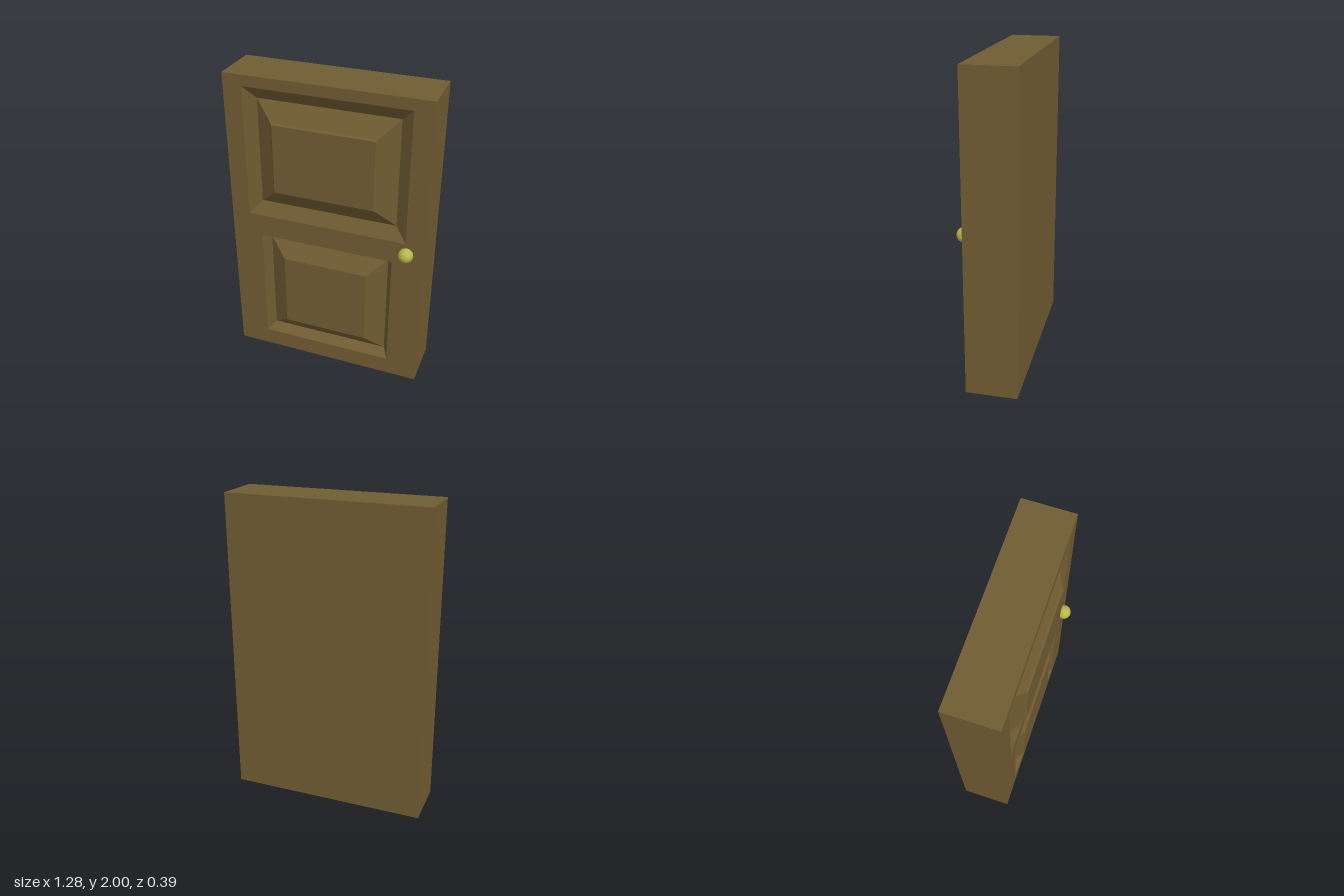
import * as THREE from 'three';

const WOOD = new THREE.MeshStandardMaterial({ color: 0x705c32, flatShading: true });
const BRASS = new THREE.MeshStandardMaterial({ color: 0xb8b84a });

const FRONT = 0.13, BACK = -0.195, HALF_W = 0.64, HEIGHT = 2;

// Each section is a rectangle [halfWidth, yLow, yHigh, z].
const corners = ([w, y0, y1, z]) => [[-w, y0, z], [w, y0, z], [w, y1, z], [-w, y1, z]];

// Joins successive rectangles with flat-sided strips.
function loft(sections) {
  const pos = [];
  for (let s = 0; s + 1 < sections.length; s++) {
    const p = corners(sections[s]), q = corners(sections[s + 1]);
    for (let i = 0; i < 4; i++) {
      const j = (i + 1) % 4;
      pos.push(...p[i], ...p[j], ...q[j], ...p[i], ...q[j], ...q[i]);
    }
  }
  const geo = new THREE.BufferGeometry();
  geo.setAttribute('position', new THREE.Float32BufferAttribute(pos, 3));
  geo.computeVertexNormals();
  return geo;
}

// Rectangle outline for the front face and its openings.
function outline(Type, [w, y0, y1]) {
  return new Type(corners([w, y0, y1, 0]).map(([x, y]) => new THREE.Vector2(x, y)));
}

export function createModel() {
  const door = new THREE.Group();
  door.name = 'door';
  const add = (name, geo, mat = WOOD) => {
    const mesh = new THREE.Mesh(geo, mat);
    mesh.name = name;
    door.add(mesh);
    return mesh;
  };

  // Panels: recess rim, groove bottom, then the raised bevelled field
  const panels = {
    upperPanel: [
      [0.52, 1.07, 1.93, FRONT],
      [0.445, 1.155, 1.85, 0.08],
      [0.33, 1.267, 1.738, 0.153],
      [0.32, 1.277, 1.728, 0.164],
      [0, 1.5, 1.5, 0.164],
    ],
    lowerPanel: [
      [0.44, 0.12, 0.92, FRONT],
      [0.4, 0.16, 0.882, 0.065],
      [0.28, 0.265, 0.775, 0.142],
      [0, 0.52, 0.52, 0.142],
    ],
  };

  // Slab: back and four sides
  add('slab', loft([
    [0, 1, 1, BACK],
    [HALF_W, 0, HEIGHT, BACK],
    [HALF_W, 0, HEIGHT, FRONT],
  ]));

  // Front face with an opening for each panel
  const face = outline(THREE.Shape, [HALF_W, 0, HEIGHT]);
  for (const [name, sections] of Object.entries(panels)) {
    face.holes.push(outline(THREE.Path, sections[0]));
    add(name, loft(sections));
  }
  add('frontFrame', new THREE.ShapeGeometry(face)).position.z = FRONT;

  // Knob
  add('knob', new THREE.SphereGeometry(0.046, 24, 16), BRASS).position.set(0.53, 1, 0.148);

  return door;
}
